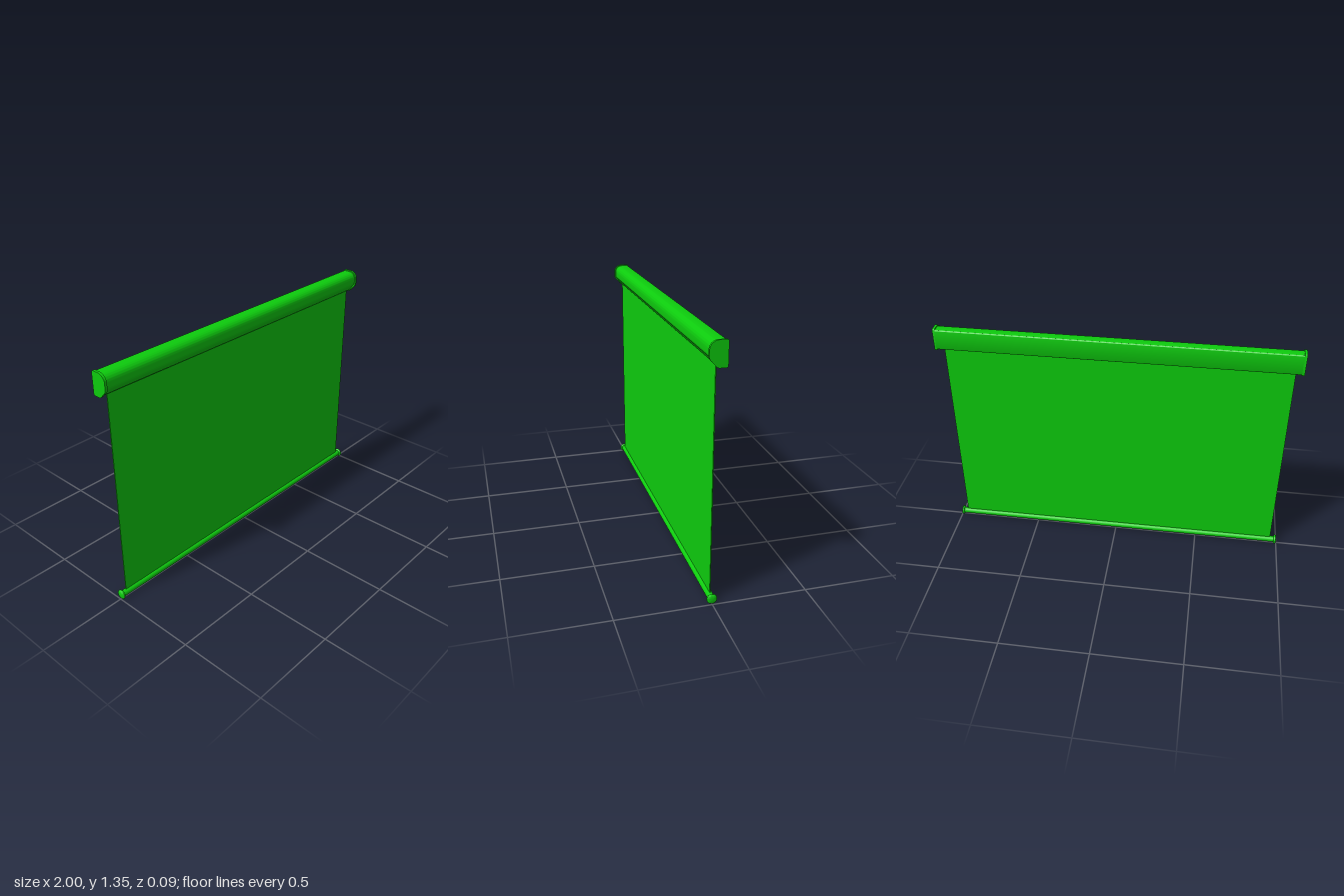
import * as THREE from 'three';
import { toCreasedNormals } from 'three/addons/utils/BufferGeometryUtils.js';

const green = new THREE.MeshStandardMaterial({ color: 0x0dcc0d });
const greenSheet = new THREE.MeshStandardMaterial({ color: 0x0dcc0d, side: THREE.DoubleSide });

// D-shaped casing section, flat at the back; inset shrinks the front, top and bottom
function casingShape(inset) {
  const front = -0.045 + inset, back = 0.045, top = 1.352 - inset, bottom = 1.222 + inset;
  const s = new THREE.Shape();
  s.moveTo(0.004, bottom);
  s.lineTo(back - 0.01, bottom);
  s.quadraticCurveTo(back, bottom, back, bottom + 0.01);
  s.lineTo(back, top - 0.01);
  s.quadraticCurveTo(back, top, back - 0.01, top);
  s.lineTo(0, top);
  s.bezierCurveTo(-0.022, top, front, top - 0.018, front, top - 0.04);
  s.lineTo(front, bottom + 0.056);
  s.quadraticCurveTo(front, bottom + 0.042, front + 0.01, bottom + 0.034);
  s.lineTo(-0.009, bottom + 0.006);
  s.quadraticCurveTo(-0.003, bottom, 0.004, bottom);
  return s;
}

// Extrudes a section along x, centred on x = 0
function extrudeX(shape, length) {
  const g = new THREE.ExtrudeGeometry(shape, { depth: length, bevelEnabled: false, curveSegments: 10 });
  g.translate(0, 0, -length / 2);
  g.rotateY(Math.PI / 2);
  return toCreasedNormals(g, 0.6);
}

export function createModel() {
  const model = new THREE.Group();
  const add = (name, geometry, material = green) => {
    const mesh = new THREE.Mesh(geometry, material);
    mesh.name = name;
    model.add(mesh);
    return mesh;
  };

  // Roller casing and its end caps
  add('casing', extrudeX(casingShape(0.006), 1.98));
  const capGeometry = extrudeX(casingShape(0), 0.014);
  for (const side of [1, -1]) {
    add(side > 0 ? 'leftCasingCap' : 'rightCasingCap', capGeometry).position.x = side * 0.993;
  }

  // Hanging sheet
  add('screen', new THREE.BoxGeometry(1.92, 1.21, 0.005), greenSheet).position.y = 0.635;

  // Weight bar along the lower edge
  const barY = 0.027;
  const bar = add('bottomBar', new THREE.CylinderGeometry(0.018, 0.018, 1.97, 24));
  bar.rotation.z = Math.PI / 2;
  bar.position.y = barY;

  // Rounded knobs on the bar ends
  const profile = [[0, 0], [0.018, 0], [0.024, 0.002], [0.027, 0.006], [0.027, 0.01],
    [0.024, 0.014], [0.015, 0.017], [0, 0.018]].map(([r, h]) => new THREE.Vector2(r, h));
  const knobGeometry = toCreasedNormals(new THREE.LatheGeometry(profile, 24), 0.8);
  for (const side of [1, -1]) {
    const knob = add(side > 0 ? 'leftBarKnob' : 'rightBarKnob', knobGeometry);
    knob.rotation.z = -side * Math.PI / 2;
    knob.position.set(side * 0.982, barY, 0);
  }
  return model;
}
